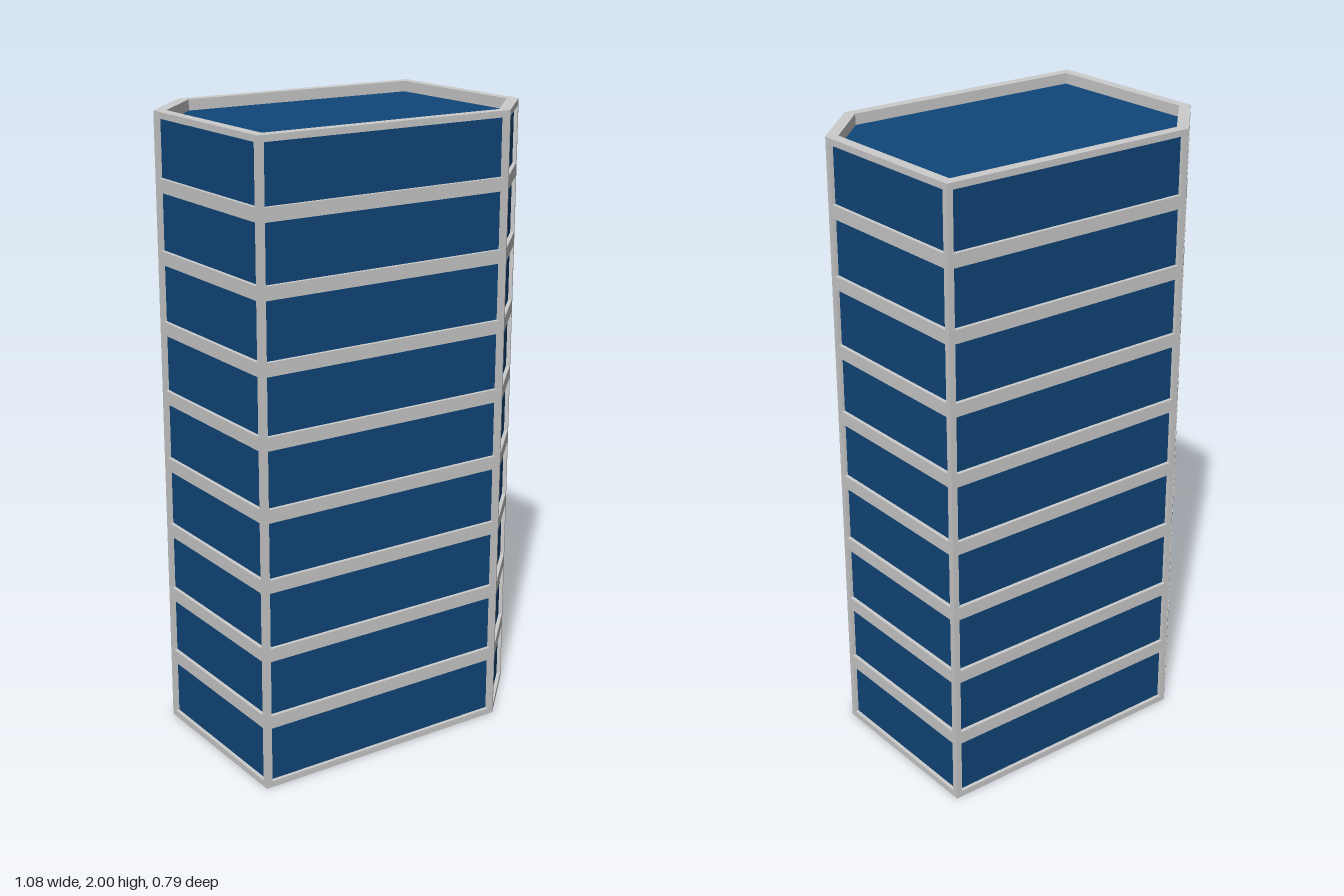
import * as THREE from 'three';

const HEIGHT = 2, FLOORS = 9, PITCH = 0.2225, PANE = 0.18;
const EDGE = 0.02;     // frame around each window
const RECESS = 0.012;  // depth of the glass behind the facade
const RIM = 0.036;     // parapet width
const ROOF_Y = 1.965;

// Footprint as [x, z], a rectangle with two opposite corners cut off
const footprint = [
  [-0.54, 0.393], [0.345, 0.393], [0.54, 0.198],
  [0.54, -0.393], [-0.345, -0.393], [-0.54, -0.198],
].map(([x, z]) => new THREE.Vector2(x, z));

const outward = (a, b) => new THREE.Vector2(a.y - b.y, b.x - a.x).normalize();

// Footprint moved inwards by d, as points for a flat shape
function inset(d) {
  const n = footprint.length;
  return footprint.map((p, i) => {
    const n1 = outward(footprint[(i + n - 1) % n], p);
    const n2 = outward(p, footprint[(i + 1) % n]);
    const m = n1.clone().add(n2).multiplyScalar(-d / (1 + n1.dot(n2)));
    return new THREE.Vector2(p.x + m.x, -(p.y + m.y));
  });
}

function rectangle(PathType, x0, y0, x1, y1) {
  return new PathType([[x0, y0], [x1, y0], [x1, y1], [x0, y1]].map(p => new THREE.Vector2(...p)));
}

export function createModel() {
  const building = new THREE.Group();
  building.name = 'officeTower';
  const grey = new THREE.MeshStandardMaterial({ color: 0xcccccc });
  const blue = new THREE.MeshStandardMaterial({ color: 0x104679 });

  const add = (parent, name, geometry, material) => {
    const mesh = new THREE.Mesh(geometry, material);
    mesh.name = name;
    parent.add(mesh);
    return mesh;
  };

  // One facade per footprint side: a pierced frame with glass set behind it
  footprint.forEach((a, i) => {
    const b = footprint[(i + 1) % footprint.length];
    const width = a.distanceTo(b);
    const facade = new THREE.Group();
    facade.name = 'facade' + (i + 1);
    facade.position.set(a.x, 0, a.y);
    facade.rotation.y = Math.atan2(a.y - b.y, b.x - a.x);

    const wall = rectangle(THREE.Shape, 0, 0, width, HEIGHT);
    const paneGeometry = new THREE.PlaneGeometry(width - 2 * EDGE, PANE);
    for (let f = 0; f < FLOORS; f++) {
      const y = EDGE + f * PITCH;
      wall.holes.push(rectangle(THREE.Path, EDGE, y, width - EDGE, y + PANE));
      add(facade, 'window', paneGeometry, blue).position.set(width / 2, y + PANE / 2, -RECESS);
    }
    const frame = new THREE.ExtrudeGeometry(wall, { depth: RECESS, bevelEnabled: false });
    add(facade, 'wallFrame', frame.translate(0, 0, -RECESS), grey);
    building.add(facade);
  });

  // Flat pieces lie in the ground plane and extrude upwards
  const slab = (shape, depth) =>
    new THREE.ExtrudeGeometry(shape, { depth, bevelEnabled: false }).rotateX(-Math.PI / 2);

  // Parapet ring just inside the facades
  const ring = new THREE.Shape(inset(RECESS + 0.001));
  ring.holes.push(new THREE.Path(inset(RIM)));
  add(building, 'parapet', slab(ring, HEIGHT - ROOF_Y), grey).position.y = ROOF_Y;
  // Closes the hairline between facades and parapet
  const seam = new THREE.Shape(inset(RECESS - 0.002));
  seam.holes.push(new THREE.Path(inset(RIM)));
  add(building, 'parapetCap', slab(seam, EDGE - 0.002), grey).position.y = HEIGHT - EDGE + 0.002;

  // Sunken roof and base
  const roof = new THREE.ShapeGeometry(new THREE.Shape(inset(RIM - 0.002))).rotateX(-Math.PI / 2);
  add(building, 'roof', roof, blue).position.y = ROOF_Y;
  add(building, 'base', slab(new THREE.Shape(inset(RECESS - 0.002)), EDGE - 0.002), grey);

  return building;
}
